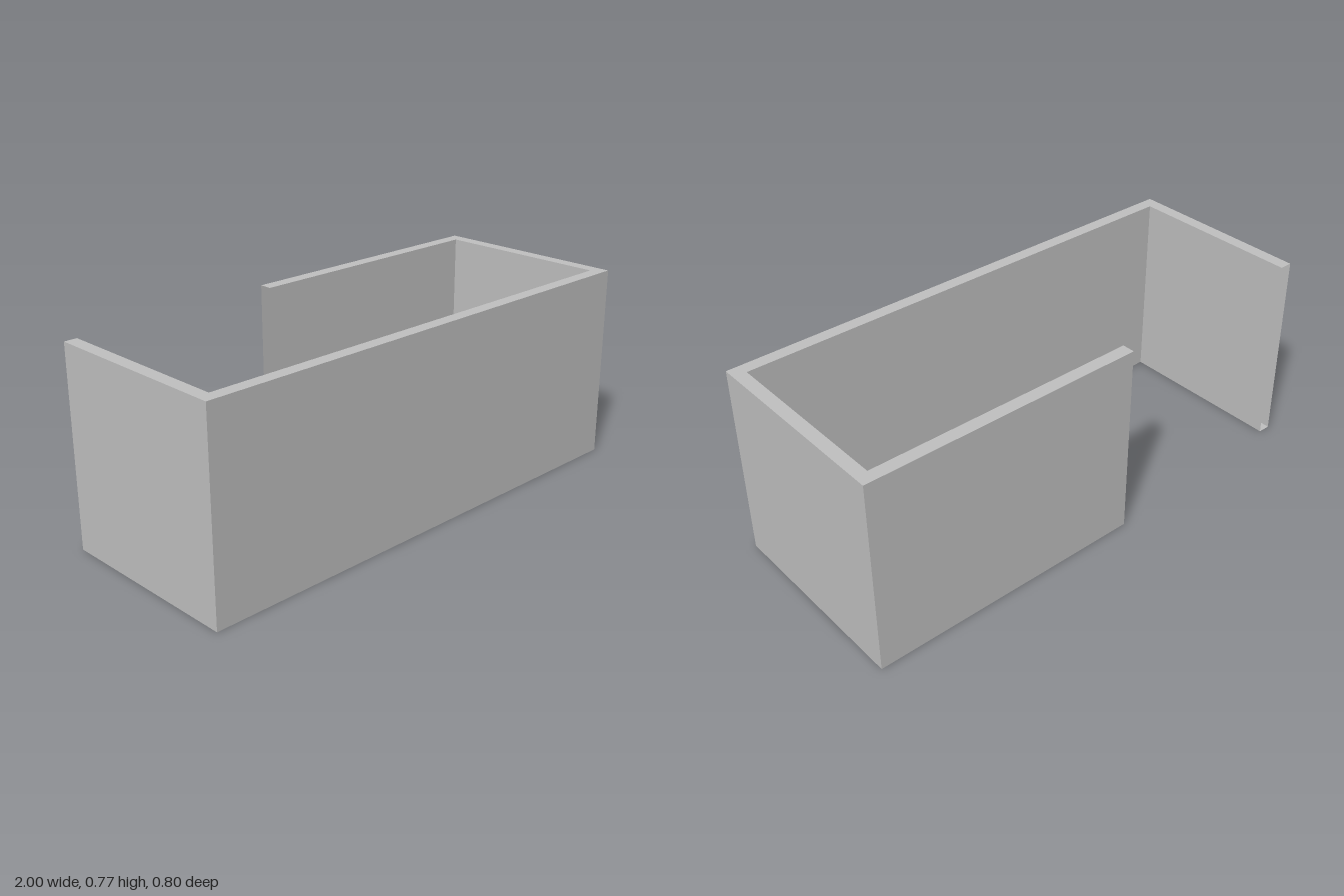
import * as THREE from 'three';

const HEIGHT = 0.77;

// Wall footprint as [x, z] points, running from one free end to the other
const OUTER = [[-1, -0.35], [-1, 0.4], [1, 0.4], [1, -0.4], [-0.11, -0.4]];
const INNER = [[-0.95, -0.35], [-0.95, 0.35], [0.95, 0.35], [0.95, -0.35], [-0.11, -0.35]];

// Upright flat panels along a path, facing to the right of travel
function wallPanels(path) {
  const positions = [];
  for (let i = 0; i < path.length - 1; i++) {
    const [ax, az] = path[i], [bx, bz] = path[i + 1];
    positions.push(ax, 0, az, bx, 0, bz, bx, HEIGHT, bz);
    positions.push(ax, 0, az, bx, HEIGHT, bz, ax, HEIGHT, az);
  }
  const geometry = new THREE.BufferGeometry();
  geometry.setAttribute('position', new THREE.Float32BufferAttribute(positions, 3));
  geometry.computeVertexNormals();
  return geometry;
}

// Flat strip filling the wall thickness; side is 1 facing up, -1 facing down
function wallEdge(side) {
  const outline = [...OUTER, ...[...INNER].reverse()];
  const shape = new THREE.Shape(outline.map(([x, z]) => new THREE.Vector2(x, -side * z)));
  return new THREE.ShapeGeometry(shape).rotateX(-side * Math.PI / 2);
}

export function createModel() {
  const grey = new THREE.MeshStandardMaterial({ color: 0xc0c0c0, side: THREE.DoubleSide });
  grey.name = 'light grey';

  const group = new THREE.Group();
  group.name = 'walls';
  const add = (name, geometry) => {
    const mesh = new THREE.Mesh(geometry, grey);
    mesh.name = name;
    group.add(mesh);
    return mesh;
  };

  // Hollow wall shell, left open at its two free ends
  add('outerWalls', wallPanels(OUTER));
  add('innerWalls', wallPanels([...INNER].reverse()));
  add('topEdge', wallEdge(1)).position.y = HEIGHT;
  add('bottomEdge', wallEdge(-1));

  return group;
}
